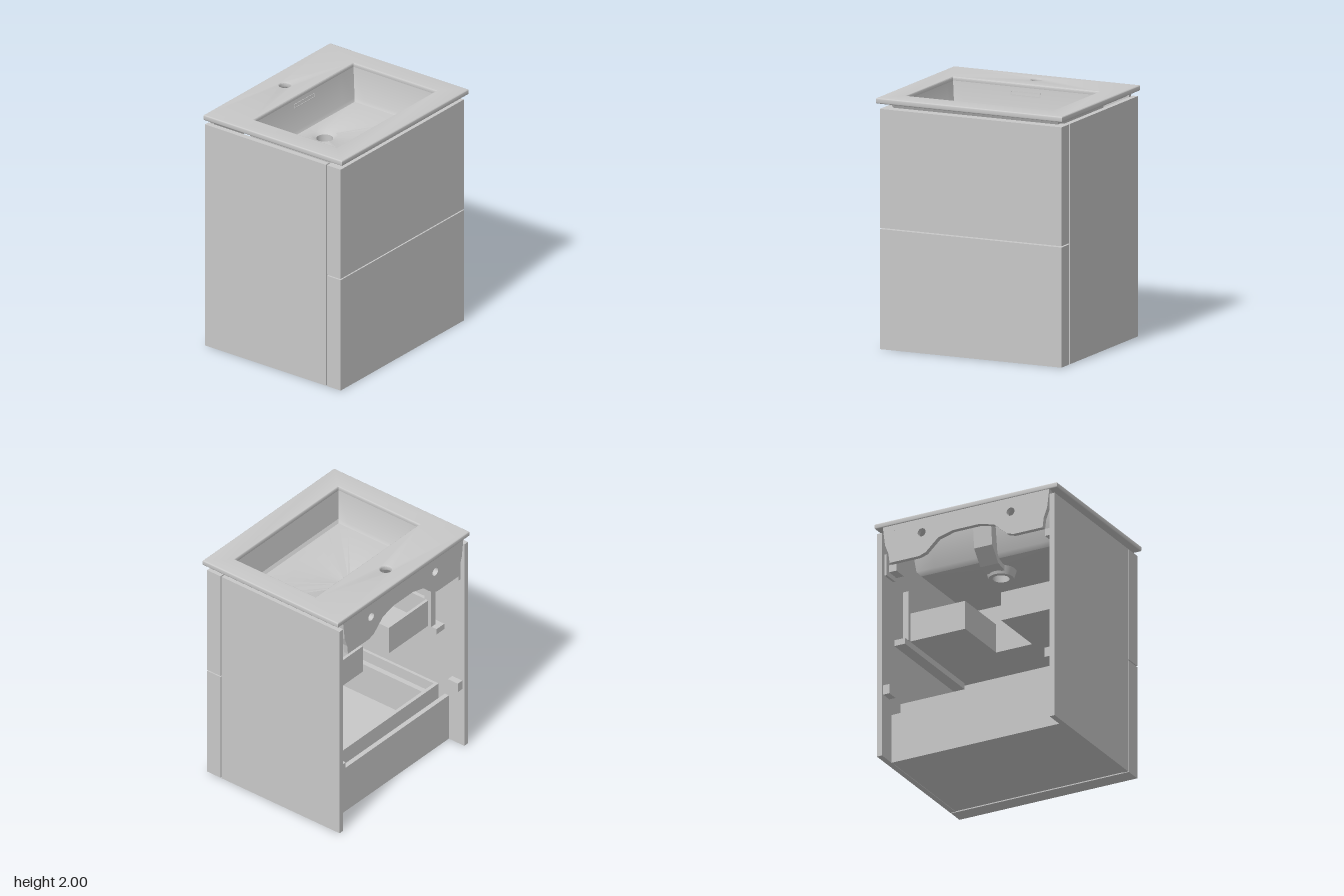
import * as THREE from 'three';
import { toCreasedNormals } from 'three/addons/utils/BufferGeometryUtils.js';

const grey = new THREE.MeshStandardMaterial({ color: 0xc8c8c8, side: THREE.DoubleSide });
grey.name = 'light grey';

function add(group, name, geometry) {
  const mesh = new THREE.Mesh(geometry, grey);
  mesh.name = name;
  group.add(mesh);
  return mesh;
}

// Box from its limits; pass s = -1 to mirror it in x
function box(group, name, [x0, x1], [y0, y1], [z0, z1], s = 1) {
  const g = new THREE.BoxGeometry(x1 - x0, y1 - y0, z1 - z0);
  g.translate(s * (x0 + x1) / 2, (y0 + y1) / 2, (z0 + z1) / 2);
  return add(group, name, g);
}

// Horizontal ring of points: a rectangle, or a circle when r is given
const SIDE = 8;
function ring(y, hx, z0, z1, r) {
  const pts = [], corners = [[-1, -1], [-1, 1], [1, 1], [1, -1]];
  for (let k = 0; k < 4; k++) for (let i = 0; i < SIDE; i++) {
    const a = corners[k], b = corners[(k + 1) % 4], t = i / SIDE;
    const u = a[0] + (b[0] - a[0]) * t, v = a[1] + (b[1] - a[1]) * t;
    if (r) {
      const ang = Math.atan2(-1, -1) - (k + t) * Math.PI / 2;
      pts.push([r * Math.cos(ang), y, (z0 + z1) / 2 + r * Math.sin(ang)]);
    } else pts.push([u * hx, y, (z0 + z1) / 2 + v * (z1 - z0) / 2]);
  }
  return pts;
}

function loft(rings) {
  const n = rings[0].length, index = [];
  for (let j = 0; j < rings.length - 1; j++) for (let i = 0; i < n; i++) {
    const a = j * n + i, b = j * n + (i + 1) % n;
    index.push(a, b, a + n, b, b + n, a + n);
  }
  const g = new THREE.BufferGeometry();
  g.setAttribute('position', new THREE.Float32BufferAttribute(rings.flat(2), 3));
  g.setIndex(index);
  return toCreasedNormals(g, 0.5);
}

function polygon(points) {
  return new THREE.Shape(points.map(p => new THREE.Vector2(...p)));
}

function hole(x, y, r) {
  return new THREE.Path().absarc(x, y, r, 0, Math.PI * 2, true);
}

function createBasin() {
  const basin = new THREE.Group();
  basin.name = 'washbasin';

  // Top slab with bowl opening and tap hole (shape y is -z)
  const slab = polygon([[-0.81, -0.68], [0.81, -0.68], [0.81, 0.68], [-0.81, 0.68]]);
  slab.holes.push(polygon([[-0.635, -0.495], [-0.635, 0.315], [0.635, 0.315], [0.635, -0.495]]), hole(0, 0.5, 0.045));
  const slabGeo = new THREE.ExtrudeGeometry(slab, {
    depth: 0.025, bevelThickness: 0.01, bevelSize: 0.01, bevelOffset: -0.01, bevelSegments: 3, curveSegments: 24,
  });
  slabGeo.rotateX(-Math.PI / 2).translate(0, 1.965, 0);
  add(basin, 'basinRim', toCreasedNormals(slabGeo, 0.6));

  // Tapered apron under the rim
  add(basin, 'basinApron', loft([
    ring(1.96, 0.735, -0.675, 0.59), ring(1.91, 0.715, -0.675, 0.565), ring(1.91, 0.68, -0.64, 0.53),
  ]));

  // Bowl inside, then its outer shell
  add(basin, 'bowlInside', loft([
    ring(1.985, 0.637, -0.317, 0.497), ring(1.72, 0.607, -0.283, 0.472), ring(1.695, 0.59, -0.27, 0.455),
    ring(1.675, 0, -0.21, -0.01, 0.1), ring(1.655, 0, -0.21, -0.01, 0.066), ring(1.58, 0, -0.21, -0.01, 0.066),
  ]));
  add(basin, 'bowlOutside', loft([
    ring(1.965, 0.67, -0.35, 0.53), ring(1.70, 0.64, -0.315, 0.505), ring(1.665, 0.61, -0.29, 0.475),
    ring(1.645, 0, -0.23, 0.01, 0.12), ring(1.58, 0, -0.21, -0.01, 0.1), ring(1.58, 0, -0.21, -0.01, 0.066),
  ]));

  // Overflow slot outline on the rear wall, and its channel behind
  const slot = polygon([[-0.13, -0.018], [0.13, -0.018], [0.13, 0.018], [-0.13, 0.018]]);
  slot.holes.push(polygon([[-0.122, -0.011], [-0.122, 0.011], [0.122, 0.011], [0.122, -0.011]]));
  const slotGeo = new THREE.ExtrudeGeometry(slot, { depth: 0.006, bevelEnabled: false });
  add(basin, 'overflowSlot', slotGeo.rotateX(-0.11).translate(0, 1.92, -0.31));
  const channel = polygon([[-0.34, 1.94], [-0.42, 1.94], [-0.40, 1.74], [-0.30, 1.62], [-0.2, 1.6], [-0.2, 1.66], [-0.3, 1.7]]);
  const channelGeo = new THREE.ExtrudeGeometry(channel, { depth: 0.16, bevelEnabled: false });
  add(basin, 'overflowChannel', channelGeo.rotateY(-Math.PI / 2).translate(0.08, 0, 0));

  // Rear mounting skirt with arch and bolt holes
  const half = [[0.74, 1.96], [0.72, 1.80], [0.69, 1.72], [0.68, 1.64], [0.42, 1.64], [0.36, 1.66], [0.25, 1.76], [0.12, 1.795]];
  const skirt = polygon([...half, ...half.map(([x, y]) => [-x, y]).reverse()]);
  skirt.holes.push(hole(0.395, 1.838, 0.035), hole(-0.395, 1.838, 0.035));
  const skirtGeo = new THREE.ExtrudeGeometry(skirt, { depth: 0.04, bevelEnabled: false, curveSegments: 16 });
  add(basin, 'mountingSkirt', skirtGeo.translate(0, 0, -0.675));
  return basin;
}

function createCabinet() {
  const cabinet = new THREE.Group();
  cabinet.name = 'cabinet';
  for (const s of [-1, 1]) {
    box(cabinet, 'sidePanel', [0.745, 0.79], [0, 1.91], [-0.68, 0.505], s);
    // Hangers and runners fixed to the side panels
    box(cabinet, 'upperHanger', [0.66, 0.745], [1.60, 1.66], [-0.60, -0.48], s);
    box(cabinet, 'hangerPlate', [0.725, 0.745], [1.56, 1.74], [-0.64, -0.5], s);
    box(cabinet, 'lowerBracket', [0.69, 0.745], [0.53, 0.61], [-0.66, -0.56], s);
    box(cabinet, 'upperRunner', [0.65, 0.745], [1.02, 1.07], [-0.48, 0.48], s);
    box(cabinet, 'lowerRunner', [0.70, 0.745], [0.13, 0.19], [-0.46, 0.48], s);
  }
  box(cabinet, 'bottomPanel', [-0.745, 0.745], [0.004, 0.045], [-0.49, 0.505]);
  box(cabinet, 'backRail', [-0.745, 0.745], [0, 0.41], [-0.525, -0.485]);
  return cabinet;
}

function createLowerDrawer() {
  const drawer = new THREE.Group();
  drawer.name = 'lowerDrawer';
  box(drawer, 'lowerFront', [-0.79, 0.79], [0, 0.955], [0.515, 0.65]);
  box(drawer, 'drawerFloor', [-0.69, 0.69], [0.11, 0.14], [-0.44, 0.515]);
  box(drawer, 'drawerBack', [-0.70, 0.70], [0.11, 0.52], [-0.46, -0.43]);
  box(drawer, 'drawerInnerFront', [-0.74, 0.74], [0.11, 0.60], [0.495, 0.515]);
  for (const s of [-1, 1]) {
    box(drawer, 'drawerSide', [0.675, 0.70], [0.11, 0.52], [-0.44, 0.515], s);
    box(drawer, 'drawerSideLedge', [0.63, 0.675], [0.14, 0.43], [-0.43, 0.495], s);
  }
  return drawer;
}

function createUpperDrawer() {
  const drawer = new THREE.Group();
  drawer.name = 'upperDrawer';
  box(drawer, 'upperFront', [-0.79, 0.79], [0.965, 1.91], [0.515, 0.65]);

  // U-shaped floor around the drain space
  const floor = polygon([[-0.65, -0.515], [0.65, -0.515], [0.65, 0.4], [0.16, 0.4], [0.16, -0.1], [-0.16, -0.1], [-0.16, 0.4], [-0.65, 0.4]]);
  const floorGeo = new THREE.ExtrudeGeometry(floor, { depth: 0.03, bevelEnabled: false });
  add(drawer, 'drawerFloor', floorGeo.rotateX(-Math.PI / 2).translate(0, 1.07, 0));

  const walls = [1.07, 1.31];
  box(drawer, 'drainSpaceWall', [-0.18, 0.18], walls, [0.1, 0.12]);
  for (const s of [-1, 1]) {
    box(drawer, 'drainSpaceSide', [0.16, 0.185], walls, [-0.4, 0.12], s);
    box(drawer, 'compartmentBack', [0.16, 0.65], walls, [-0.4, -0.375], s);
    box(drawer, 'drawerSide', [0.645, 0.675], walls, [-0.42, 0.515], s);
    // Raised post at the rear end of each side
    const post = polygon([[0.43, 1.07], [0.38, 1.07], [0.36, 1.31], [0.39, 1.49], [0.43, 1.49]]);
    const postGeo = new THREE.ExtrudeGeometry(post, { depth: 0.05, bevelEnabled: false });
    postGeo.rotateY(Math.PI / 2).translate(s * 0.67 - 0.025, 0, 0);
    add(drawer, 'rearPost', postGeo);
  }
  return drawer;
}

export function createModel() {
  const model = new THREE.Group();
  model.name = 'vanityUnit';
  model.add(createCabinet(), createLowerDrawer(), createUpperDrawer(), createBasin());
  return model;
}
